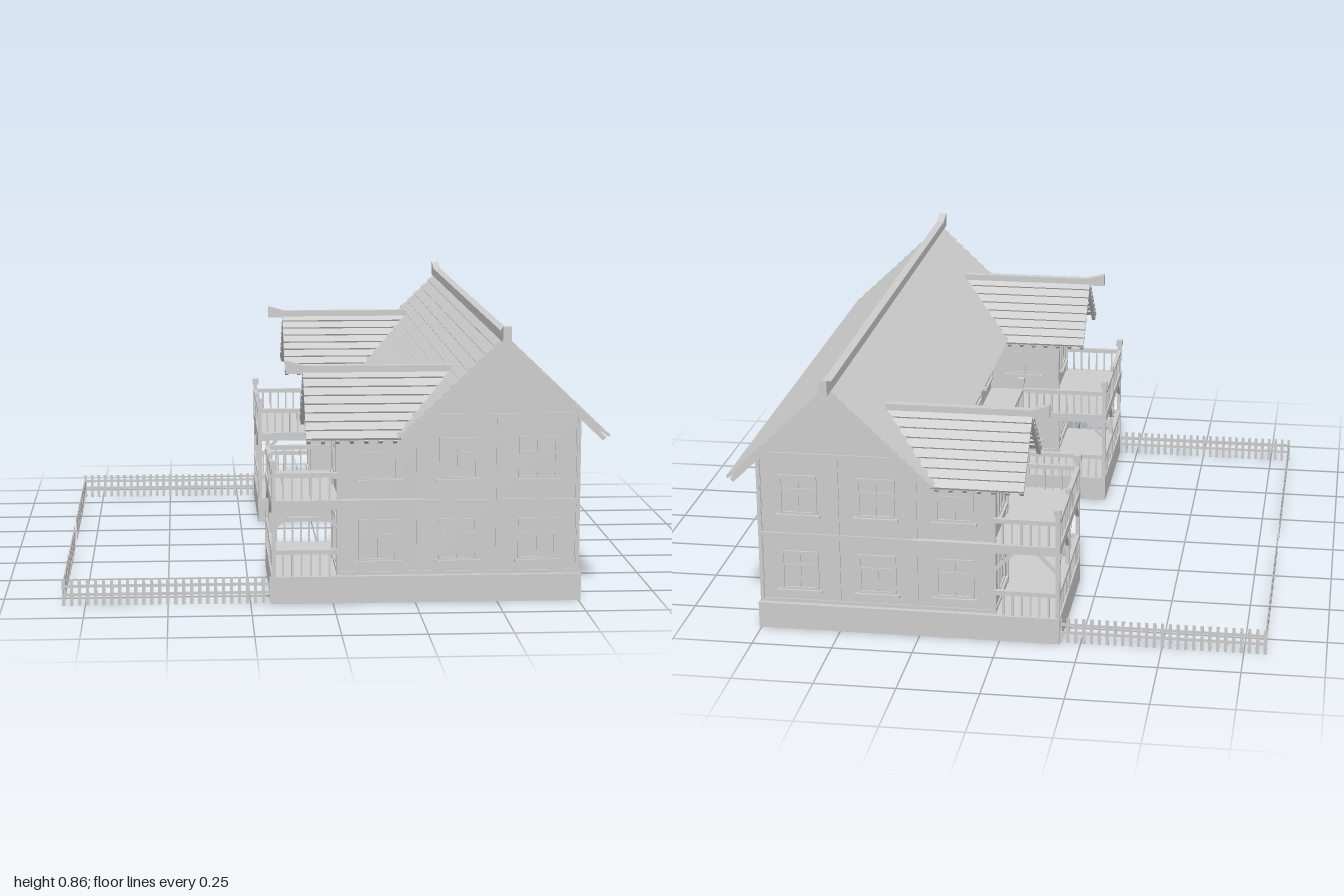
import * as THREE from 'three';

const plaster = new THREE.MeshStandardMaterial({ color: 0xcccccc });
plaster.name = 'pale grey';

const BAY = 0.2428;
const SOUTH = 0.842, NORTH = -0.857;   // outer wall planes in z
const WEST = 0.017, EAST = 0.747;      // outer wall planes in x
const MID_Z = (SOUTH + NORTH) / 2;
const RIDGE_X = 0.503;

function add(parent, name, geometry, x = 0, y = 0, z = 0) {
  const mesh = new THREE.Mesh(geometry, plaster);
  mesh.name = name;
  mesh.position.set(x, y, z);
  parent.add(mesh);
  return mesh;
}
const box = (parent, name, w, h, d, x, y, z) =>
  add(parent, name, new THREE.BoxGeometry(w, h, d), x, y, z);

function group(parent, name, x = 0, y = 0, z = 0, turn = 0) {
  const g = new THREE.Group();
  g.name = name;
  g.position.set(x, y, z);
  g.rotation.y = turn;
  parent.add(g);
  return g;
}

function prism(points, depth) {
  const shape = new THREE.Shape(points.map(p => new THREE.Vector2(p[0], p[1])));
  return new THREE.ExtrudeGeometry(shape, { depth, bevelEnabled: false });
}

// U-shaped slab lying flat, used for the plinth and the balcony floor
function uSlab(parent, name, y, height, back) {
  const pts = [[-0.187, 0.877], [-0.187, 0.375], [0.107, 0.375], [0.107, -0.352],
    [-0.187, -0.352], [-0.187, -0.861], [back, -0.861], [back, 0.877]];
  const geo = prism(pts, height);
  geo.rotateX(-Math.PI / 2);
  add(parent, name, geo, 0, y, 0);
}

// Window or door frame, standing slightly proud of the wall
function opening(parent, x, y, w, h, isDoor) {
  const g = group(parent, isDoor ? 'door' : 'window', x, y, 0);
  for (const s of [-1, 1]) {
    box(g, 'frameSide', 0.01, h, 0.008, s * w / 2, 0, 0.002);
    box(g, 'frameRail', w + 0.01, 0.01, 0.008, 0, s * h / 2, 0.002);
  }
  box(g, 'mullion', 0.007, h, 0.006, 0, 0, 0.001);
  box(g, 'crossbar', w, 0.007, 0.006, 0, h * 0.15, 0.001);
  if (!isDoor) box(g, 'sill', w + 0.03, 0.008, 0.016, 0, -h / 2 - 0.006, 0.006);
}

// Timber frame with windows along one wall; local +z points outward
function facade(parent, name, bays, x, z, turn, doorBay = -1) {
  const g = group(parent, name, x, 0, z, turn);
  const len = bays * BAY;
  for (let i = 0; i <= bays; i++) box(g, 'wallPost', 0.013, 0.49, 0.01, i * BAY, 0.325, 0);
  box(g, 'sillBeam', len, 0.012, 0.008, len / 2, 0.088, 0);
  box(g, 'floorBeam', len, 0.018, 0.012, len / 2, 0.305, 0);
  box(g, 'topBeam', len, 0.014, 0.01, len / 2, 0.57, 0);
  for (let i = 0; i < bays; i++) {
    const c = (i + 0.5) * BAY;
    if (i === doorBay) opening(g, c, 0.173, 0.12, 0.17, true);
    else opening(g, c, 0.19, 0.11, 0.12, false);
    opening(g, c, 0.44, 0.11, 0.12, false);
  }
}

// Stepped gable roof with its ridge along local x and its apex at the origin
function roof(g, rows, run, rise, x0, x1, endAt, rafterEnd) {
  const slope = Math.atan2(rise, run), hyp = Math.hypot(run, rise);
  for (const s of [-1, 1]) {
    for (let i = 0; i < rows; i++) {
      const t = (i + 0.5) / rows, end = endAt(t);
      const m = box(g, 'roofRow', end - x0, 0.008, hyp / rows * 1.3,
        (end + x0) / 2, -rise * t - 0.003, s * run * t);
      m.rotation.x = s * (slope - 0.17);
    }
    const count = Math.round((rafterEnd - x0) / 0.045);
    for (let i = 0; i <= count; i++) {
      const x = x0 + 0.008 + (rafterEnd - x0 - 0.016) * i / count;
      const r = box(g, 'rafter', 0.012, 0.014, hyp * 0.97, x, -rise / 2 - 0.018, s * run * 0.49);
      r.rotation.x = s * slope;
    }
  }
}

// Railing, braces and balusters between two points on the ground plan
function span(parent, a, b, lower = true) {
  const dx = b[0] - a[0], dz = b[1] - a[1], len = Math.hypot(dx, dz);
  const g = group(parent, 'balconySpan', a[0], 0, a[1], Math.atan2(-dz, dx));
  const levels = lower ? [[0.083, 0.159], [0.318, 0.395]] : [[0.318, 0.395]];
  const n = Math.max(3, Math.round(len / 0.028));
  for (const [y0, y1] of levels) {
    box(g, 'handrail', len, 0.014, 0.014, len / 2, y1, 0);
    for (let i = 1; i < n; i++)
      box(g, 'baluster', 0.006, y1 - y0, 0.006, len * i / n, (y0 + y1) / 2, 0);
  }
  for (const s of [-1, 1]) {
    const x = s < 0 ? 0.031 : len - 0.031;
    box(g, 'brace', 0.08, 0.01, 0.01, x, 0.262, 0).rotation.z = -s * Math.PI / 4;
  }
}

function post(parent, [x, z], corner) {
  box(parent, 'balconyPost', 0.013, 0.337, 0.013, x, 0.2515, z);
  if (corner) box(parent, 'postCap', 0.022, 0.02, 0.022, x, 0.43, z);
}

// Thin picket fence between two points
function fence(parent, a, b) {
  const dx = b[0] - a[0], dz = b[1] - a[1], len = Math.hypot(dx, dz);
  const g = group(parent, 'picketFence', a[0], 0, a[1], Math.atan2(-dz, dx));
  const n = Math.round(len / 0.024);
  for (let i = 0; i <= n; i++) box(g, 'picket', 0.01, 0.082, 0.002, len * i / n, 0.041, 0);
  for (const y of [0.034, 0.06]) box(g, 'fenceRail', len, 0.009, 0.002, len / 2, y, 0);
}

export function createModel() {
  const house = new THREE.Group();
  house.name = 'house';

  uSlab(house, 'plinth', 0, 0.083, 0.757);
  uSlab(house, 'balconyFloor', 0.29, 0.028, 0.27);
  box(house, 'doorStep', 0.055, 0.045, 0.12, 0.08, 0.0225, -0.01);

  // Main block and two wings as gabled prisms
  const h = EAST - RIDGE_X;
  add(house, 'mainWalls', prism([[RIDGE_X - h, 0.08], [EAST, 0.08], [EAST, 0.565],
    [RIDGE_X, 0.795], [RIDGE_X - h, 0.565]], SOUTH - NORTH), 0, 0, NORTH);
  const b = BAY / 2;
  const wingZ = [NORTH + b, SOUTH - b];
  for (const z of wingZ) {
    const geo = prism([[-b, 0.08], [b, 0.08], [b, 0.565], [0, 0.675], [-b, 0.565]], 0.28);
    geo.rotateY(Math.PI / 2);
    add(house, 'wingWalls', geo, WEST, 0, z);
  }

  // Timber facades
  const q = Math.PI / 2;
  facade(house, 'eastFacade', 7, EAST, SOUTH, q);
  facade(house, 'frontFacade', 3, WEST, SOUTH, 0);
  facade(house, 'backFacade', 3, EAST, NORTH, 2 * q);
  facade(house, 'courtFacade', 5, RIDGE_X - h, NORTH + BAY, -q, 2);
  facade(house, 'wingEndFacade', 1, WEST, NORTH, -q);
  facade(house, 'wingEndFacade', 1, WEST, SOUTH - BAY, -q);
  facade(house, 'wingInnerFacade', 1, WEST, NORTH + BAY, 0);
  facade(house, 'wingInnerFacade', 1, WEST + BAY, SOUTH - BAY, 2 * q);

  // Main roof with a flared ridge beam
  const mainRoof = group(house, 'mainRoof', RIDGE_X, 0.822, 0, q);
  roof(mainRoof, 12, 0.31, 0.295, -0.953, 0.953, () => 0.953, 0.953);
  add(mainRoof, 'ridgeBeam', prism([[-1, -0.01], [-0.93, -0.01], [0.93, -0.01], [1, -0.01],
    [1, 0.038], [0.94, 0.018], [-0.94, 0.018], [-1, 0.038]], 0.026), 0, 0, -0.013);

  // Wing roofs, running into the main roof along a valley
  for (const z of wingZ) {
    const g = group(house, 'wingRoof', 0, 0.7, z);
    roof(g, 8, 0.192, 0.182, -0.085, 0.37, t => 0.385 - 0.18 * t, 0.19);
    add(g, 'wingRidgeBeam', prism([[-0.137, -0.014], [-0.08, -0.014], [0.37, -0.014],
      [0.37, 0.01], [-0.08, 0.01], [-0.137, 0.026]], 0.026), 0, 0, -0.013);
  }

  // Balconies and porches around both wings and the court
  const balcony = group(house, 'balcony');
  const sides = [{ out: -0.868, mid: -0.635, inn: -0.385, gate: -0.13 },
    { out: 0.852, mid: 0.595, inn: 0.362, gate: 0.11 }];
  const X = -0.18, C = 0.114;
  for (const { out, mid, inn, gate } of sides) {
    const corners = [[X, out], [X, inn], [C, inn]];
    corners.forEach(p => post(balcony, p, true));
    post(balcony, [X, mid], false);
    post(balcony, [C, gate], false);
    span(balcony, [WEST, out], [X, out]);
    span(balcony, [X, out], [X, mid]);
    span(balcony, [X, mid], [X, inn]);
    span(balcony, [X, inn], [C, inn]);
    span(balcony, [C, inn], [C, gate]);
  }
  span(balcony, [C, sides[0].gate], [C, sides[1].gate], false);

  // Garden fence with a gate gap
  const F = -0.815;
  for (const [z, gap] of [[-0.862, -0.075], [0.846, 0.055]]) {
    fence(house, [-0.187, z], [F, z]);
    fence(house, [F, z], [F, gap]);
  }
  return house;
}
